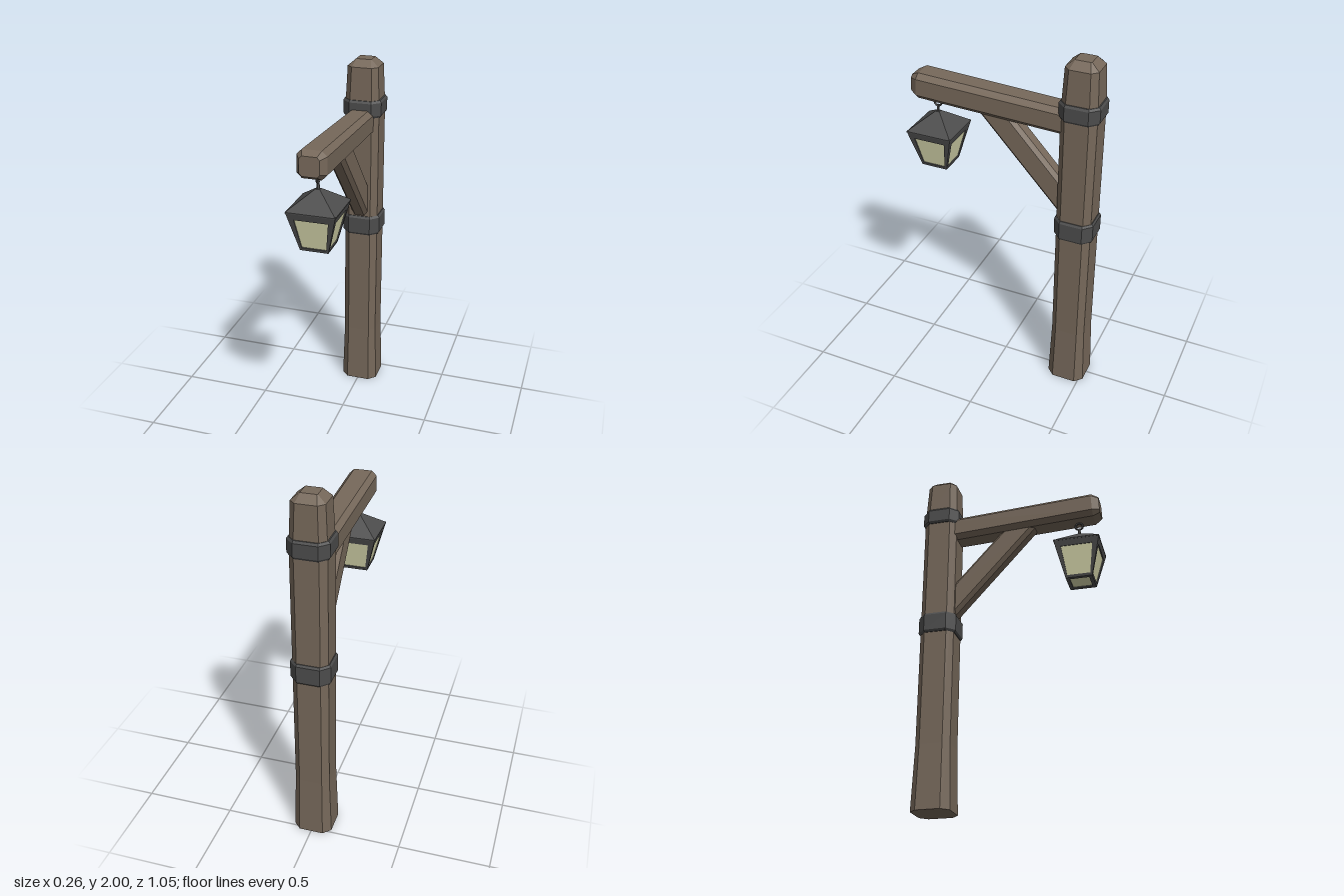
import * as THREE from 'three';

const mat = (color) => new THREE.MeshStandardMaterial({ color, flatShading: true });

// Loft of chamfered rectangles along y; each section is [y, halfX, halfZ, chamfer]
function loft(sections) {
  const pos = [], idx = [], n = 8;
  for (const [y, a, b, c] of sections) {
    const ring = [[a, b - c], [a - c, b], [c - a, b], [-a, b - c], [-a, c - b], [c - a, -b], [a - c, -b], [a, c - b]];
    for (const [x, z] of ring) pos.push(x, y, z);
  }
  for (let s = 0; s < sections.length - 1; s++) {
    for (let i = 0; i < n; i++) {
      const p = s * n + i, q = s * n + (i + 1) % n;
      idx.push(p, p + n, q, q, p + n, q + n);
    }
  }
  // End caps
  const top = (sections.length - 1) * n;
  for (let i = 1; i < n - 1; i++) {
    idx.push(0, i, i + 1);
    idx.push(top, top + i + 1, top + i);
  }
  const g = new THREE.BufferGeometry();
  g.setAttribute('position', new THREE.Float32BufferAttribute(pos, 3));
  g.setIndex(idx);
  const flat = g.toNonIndexed();
  flat.computeVertexNormals();
  return flat;
}

// Outline of a symmetric trapezoid
const trapezoid = (y0, w0, y1, w1) =>
  [[-w0, y0], [w0, y0], [w1, y1], [-w1, y1]].map(([x, y]) => new THREE.Vector2(x, y));

export function createModel() {
  const root = new THREE.Group();
  root.name = 'lanternPost';
  const wood = mat(0x76685a), iron = mat(0x4c4c4c), glass = mat(0xdedeb2);
  glass.side = THREE.DoubleSide;

  const add = (parent, name, geometry, material) => {
    const m = new THREE.Mesh(geometry, material);
    m.name = name;
    parent.add(m);
    return m;
  };

  // Upright post with flared foot and bevelled top
  const postZ = -0.415;
  add(root, 'post', loft([
    [0, 0.107, 0.107, 0.04], [0.35, 0.096, 0.096, 0.033], [1.74, 0.096, 0.096, 0.033],
    [1.963, 0.086, 0.086, 0.031], [2, 0.043, 0.043, 0.004],
  ]), wood).position.z = postZ;

  // Iron bands
  for (const [name, y0, y1] of [['lowerBand', 0.99, 1.105], ['upperBand', 1.69, 1.785]]) {
    add(root, name, loft([
      [y0, 0.1, 0.1, 0.04], [y0 + 0.012, 0.108, 0.108, 0.045],
      [y1 - 0.012, 0.108, 0.108, 0.045], [y1, 0.1, 0.1, 0.04],
    ]), iron).position.z = postZ;
  }

  // Timber running between two points [z, y] in the plane x = 0
  function timber(name, a, b, makeSections) {
    const dz = b[0] - a[0], dy = b[1] - a[1];
    const m = add(root, name, loft(makeSections(Math.hypot(dz, dy))), wood);
    m.position.set(0, a[1], a[0]);
    m.rotation.x = Math.atan2(dz, dy);
  }
  timber('beam', [-0.4, 1.658], [0.52, 1.7], (len) => [
    [0, 0.071, 0.071, 0.026], [len - 0.04, 0.077, 0.072, 0.027], [len, 0.052, 0.05, 0.014],
  ]);
  timber('brace', [-0.385, 1.144], [0.108, 1.68], (len) => [
    [0, 0.047, 0.072, 0.02], [len, 0.047, 0.072, 0.02],
  ]);

  // Hanging lantern
  const lantern = new THREE.Group();
  lantern.name = 'lantern';
  lantern.position.z = 0.394;
  root.add(lantern);

  const eave = 1.455, floor = 1.237, wTop = 0.128, wBottom = 0.074;
  add(lantern, 'lanternRoof', loft([
    [eave - 0.006, wTop, wTop, 0], [eave, wTop, wTop, 0], [1.545, 0.012, 0.012, 0],
  ]), iron);

  // Four sloping sides: a frame with a slightly recessed pane
  const drop = eave - floor, slant = Math.hypot(drop, wTop - wBottom);
  const k = slant / drop, tilt = Math.atan2(wTop - wBottom, drop);
  const paneOutline = trapezoid(0.015 * k, 0.064, (1.415 - floor) * k, 0.088);
  const sideShape = new THREE.Shape(trapezoid(0, wBottom, slant, wTop));
  sideShape.holes.push(new THREE.Path(paneOutline));
  const frameGeo = new THREE.ExtrudeGeometry(sideShape, { depth: 0.01, bevelEnabled: false });
  frameGeo.translate(0, 0, -0.01);
  const paneGeo = new THREE.ShapeGeometry(new THREE.Shape(paneOutline));
  paneGeo.translate(0, 0, -0.006);
  for (const g of [frameGeo, paneGeo]) g.rotateX(tilt).translate(0, floor, wBottom);
  for (let i = 0; i < 4; i++) {
    const side = new THREE.Group();
    side.name = 'lanternSide';
    side.rotation.y = i * Math.PI / 2;
    add(side, 'sideFrame', frameGeo, iron);
    add(side, 'sidePane', paneGeo, glass);
    lantern.add(side);
  }

  // Bottom frame and pane
  const h = 0.054;
  const baseShape = new THREE.Shape(trapezoid(-wBottom, wBottom, wBottom, wBottom));
  baseShape.holes.push(new THREE.Path(trapezoid(-h, h, h, h)));
  const baseGeo = new THREE.ExtrudeGeometry(baseShape, { depth: 0.01, bevelEnabled: false });
  add(lantern, 'bottomFrame', baseGeo.rotateX(-Math.PI / 2).translate(0, floor, 0), iron);
  const basePane = new THREE.PlaneGeometry(2 * h, 2 * h).rotateX(Math.PI / 2);
  add(lantern, 'bottomPane', basePane.translate(0, floor + 0.006, 0), glass);

  // Hanging ring and stem
  const ring = add(lantern, 'hangingRing', new THREE.TorusGeometry(0.021, 0.006, 6, 12), iron);
  ring.rotation.y = Math.PI / 2;
  ring.position.y = 1.597;
  add(lantern, 'hangingStem', new THREE.CylinderGeometry(0.007, 0.009, 0.05, 6), iron).position.y = 1.557;

  return root;
}
